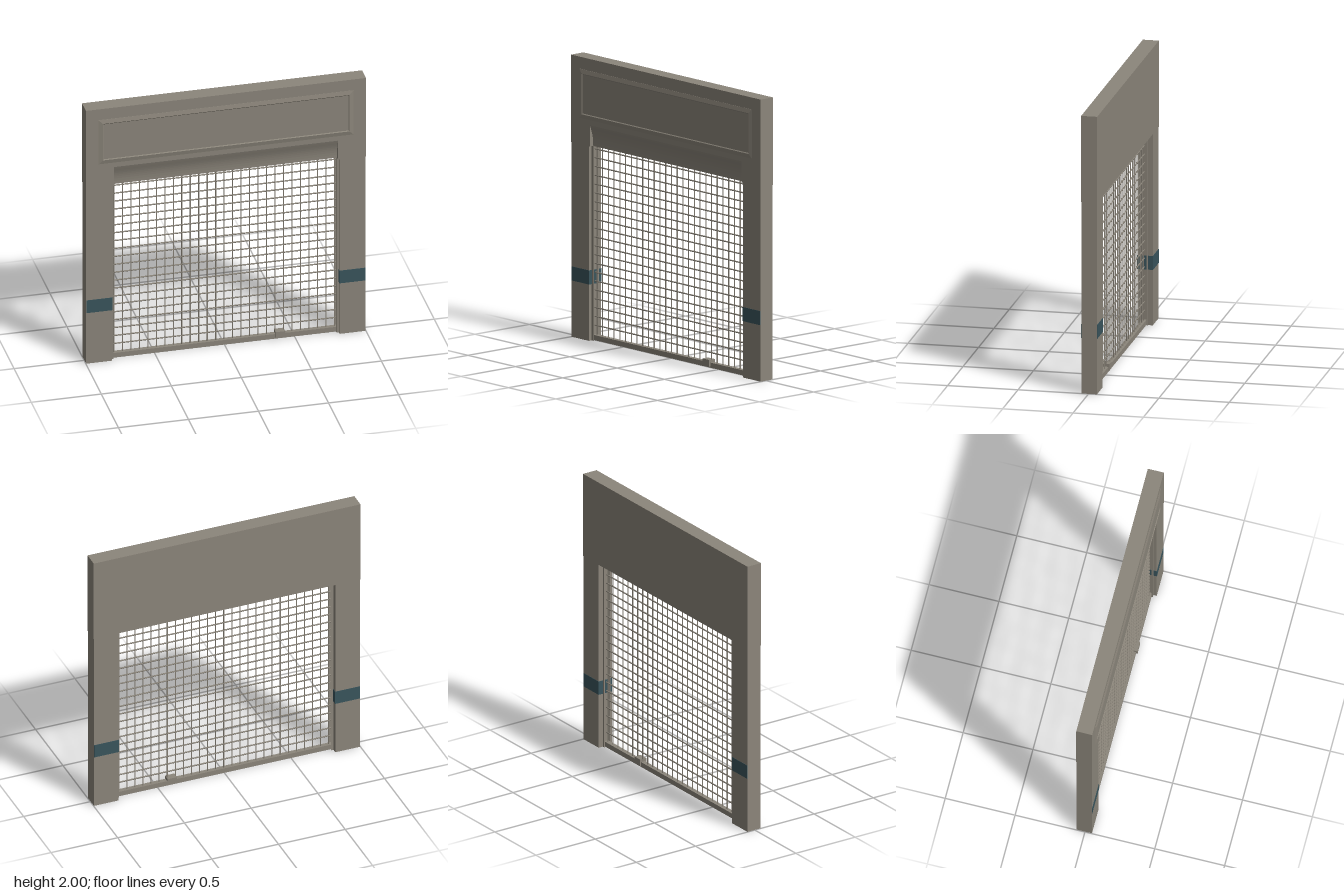
import * as THREE from 'three';

const mat = (name, color, side = THREE.FrontSide) => {
  const m = new THREE.MeshStandardMaterial({ color, side });
  m.name = name;
  return m;
};

export function createModel() {
  const group = new THREE.Group();
  const wall = mat('warm grey', 0x8c867b);
  const teal = mat('dark teal', 0x3a555d);

  const add = (name, geometry, material = wall) => {
    const mesh = new THREE.Mesh(geometry, material);
    mesh.name = name;
    group.add(mesh);
    return mesh;
  };
  // Box given by its minimum and maximum corners
  const box = (name, x0, x1, y0, y1, z0, z1, material) => {
    const g = new THREE.BoxGeometry(Math.abs(x1 - x0), y1 - y0, z1 - z0);
    g.translate((x0 + x1) / 2, (y0 + y1) / 2, (z0 + z1) / 2);
    return add(name, g, material);
  };

  const back = -0.062, front = 0.052, headerY = 1.38, opening = 0.8;

  // Header: middle section with a cove cut into its lower front edge
  const profile = new THREE.Shape();
  profile.moveTo(-back, headerY);
  profile.lineTo(-back, 2);
  profile.lineTo(-front, 2);
  profile.lineTo(-front, 1.53);
  profile.bezierCurveTo(-0.04, 1.49, -0.022, 1.46, -0.022, headerY);
  profile.closePath();
  const cove = new THREE.ExtrudeGeometry(profile, { depth: opening * 2, bevelEnabled: false, curveSegments: 10 });
  cove.rotateY(Math.PI / 2);
  cove.translate(-opening, 0, 0);
  add('headerMiddle', cove);

  for (const s of [-1, 1]) {
    const side = s < 0 ? 'right' : 'left';
    // Header ends and side posts
    box(side + 'HeaderEnd', s * opening, s, headerY, 2, back, front);
    box(side + 'Post', s * 0.812, s * 0.997, 0, headerY, back + 0.002, front - 0.002);
    // Painted band on the front, back and inner faces of the post
    box(side + 'PostBand', s * 0.81, s * 0.996, 0.4, 0.5, back, front, teal);
    // Guide rail: two flanges that hold the mesh edge
    for (const z of [-0.026, 0.018]) {
      box(side + 'GuideRail', s * 0.795, s * 0.815, 0, headerY, z, z + 0.008);
    }
  }

  // Raised sign frame: nested rectangles from the outer edge to the panel
  const loops = [[0, 0.05], [0, 0.054], [0.03, 0.06], [0.036, 0.055]];
  const corners = ([inset, z]) => {
    const x = 0.91 - inset, y0 = 1.567 + inset, y1 = 1.915 - inset;
    return [[-x, y0, z], [x, y0, z], [x, y1, z], [-x, y1, z]];
  };
  const pos = [];
  const quad = (a, b, c, d) => pos.push(...a, ...b, ...c, ...a, ...c, ...d);
  for (let i = 0; i < loops.length - 1; i++) {
    const a = corners(loops[i]), b = corners(loops[i + 1]);
    for (let k = 0; k < 4; k++) quad(a[k], a[(k + 1) % 4], b[(k + 1) % 4], b[k]);
  }
  quad(...corners(loops[loops.length - 1]));
  const sign = new THREE.BufferGeometry();
  sign.setAttribute('position', new THREE.Float32BufferAttribute(pos, 3));
  sign.computeVertexNormals();
  add('signPanel', sign);

  // Shutter mesh of crossing rods
  const rod = (name, length, radius) => add(name, new THREE.CylinderGeometry(radius, radius, length, 8));
  for (let i = -13; i <= 13; i++) {
    rod('verticalRod', headerY - 0.02, 0.004).position.set(i * 0.0605, headerY / 2 + 0.01, 0);
  }
  for (let i = 0; i <= 20; i++) {
    const r = rod('horizontalRod', 1.61, 0.005);
    r.rotation.z = Math.PI / 2;
    r.position.set(0, 0.107 + i * 0.0625, 0);
  }

  // Bottom bar and lock
  box('bottomBar', -0.81, 0.81, 0.004, 0.04, -0.017, 0.017);
  box('lock', 0.36, 0.43, 0.012, 0.06, -0.024, 0.028);

  return group;
}
